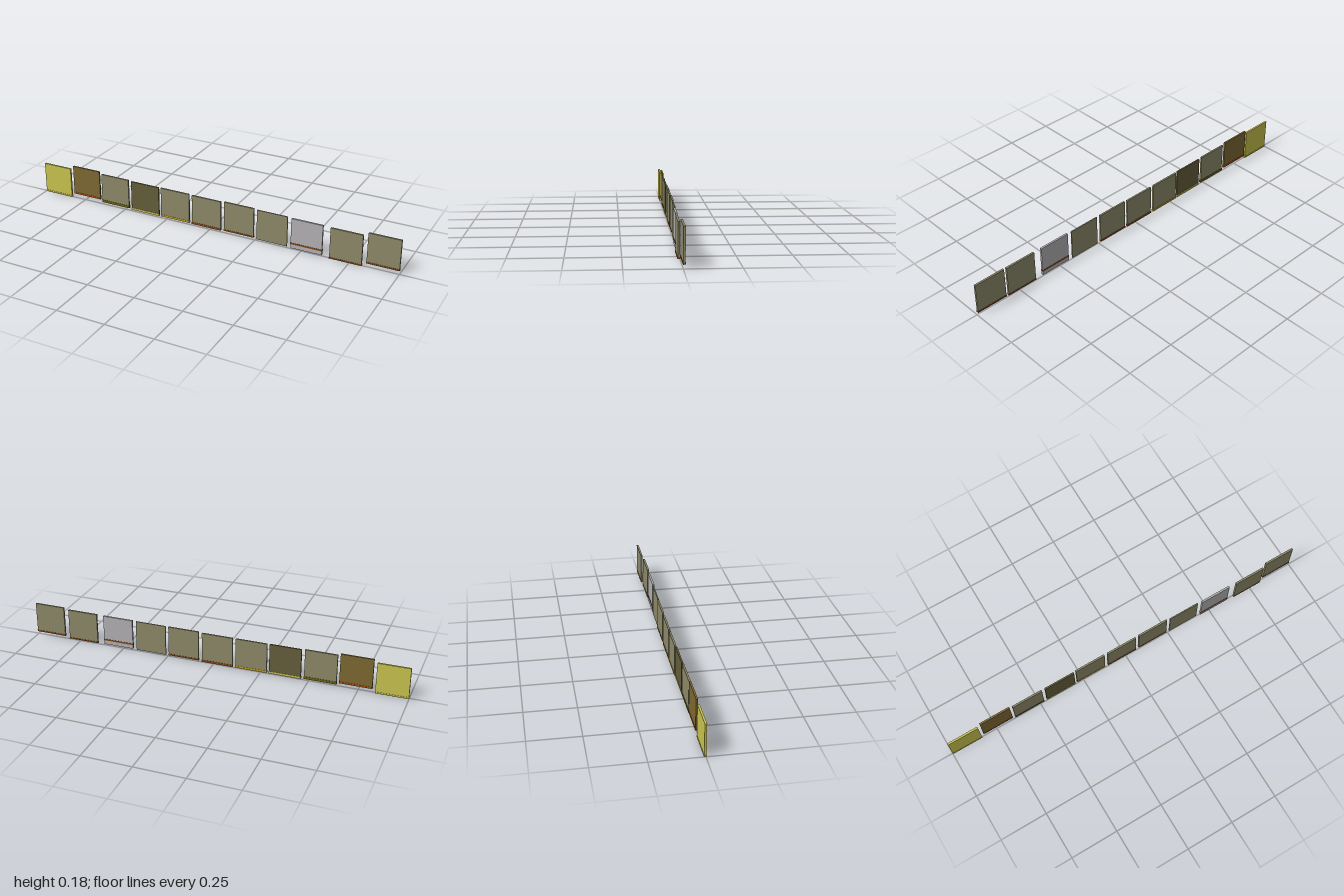
import * as THREE from 'three';

export function createModel() {
  const group = new THREE.Group();
  group.name = 'panelRow';

  const colors = {
    yellow: 0xc9c34e, brown: 0x7e6932, sage: 0x8d8969, darkOlive: 0x655e3b, silver: 0xb3b1b3,
    rust: 0x8a4a18, moss: 0x66620f, gold: 0xc8a51f, orange: 0xb5500f,
  };
  const mats = {};
  for (const [name, color] of Object.entries(colors)) {
    mats[name] = new THREE.MeshStandardMaterial({ color });
    mats[name].name = name;
  }

  const box = (name, mat, x, y0, y1, z, w, d) => {
    const mesh = new THREE.Mesh(new THREE.BoxGeometry(w, y1 - y0, d), mats[mat]);
    mesh.name = name;
    mesh.position.set(x, (y0 + y1) / 2, z);
    group.add(mesh);
  };

  // x centre, bottom, top, z centre, depth, panel colour, strip colour, strip bottom, strip top
  const panels = [
    [-0.917, 0.004, 0.163, -0.002, 0.01, 'yellow', 'yellow', 0, 0.008],
    [-0.738, 0.026, 0.181, -0.006, 0.009, 'brown', 'orange', 0.022, 0.031],
    [-0.560, 0.014, 0.171, -0.004, 0.009, 'sage', 'moss', 0.011, 0.025],
    [-0.379, 0.012, 0.168, -0.004, 0.008, 'darkOlive', 'yellow', 0.007, 0.018],
    [-0.203, 0.012, 0.168, -0.006, 0.009, 'sage', 'gold', 0.008, 0.018],
    [-0.022, 0.011, 0.167, -0.005, 0.009, 'sage', 'rust', 0.007, 0.018],
    [0.160, 0.014, 0.171, -0.005, 0.009, 'sage', 'rust', 0.011, 0.019],
    [0.342, 0.007, 0.169, -0.002, 0.006, 'sage'],
    [0.528, 0.007, 0.168, 0.002, 0.01, 'silver', 'rust', 0.029, 0.037],
    [0.732, 0.005, 0.167, 0.005, 0.01, 'sage', 'rust', 0.003, 0.01],
    [0.917, 0.021, 0.18, -0.005, 0.01, 'sage', 'rust', 0.018, 0.026],
  ];

  panels.forEach(([x, y0, y1, z, depth, color, stripColor, s0, s1], i) => {
    box(`panel${i + 1}`, color, x, y0, y1, z, 0.164, depth);
    // thin strip wrapping the lower edge of the panel
    if (stripColor) box(`strip${i + 1}`, stripColor, x, s0, s1, z, 0.166, depth + 0.003);
  });

  return group;
}
